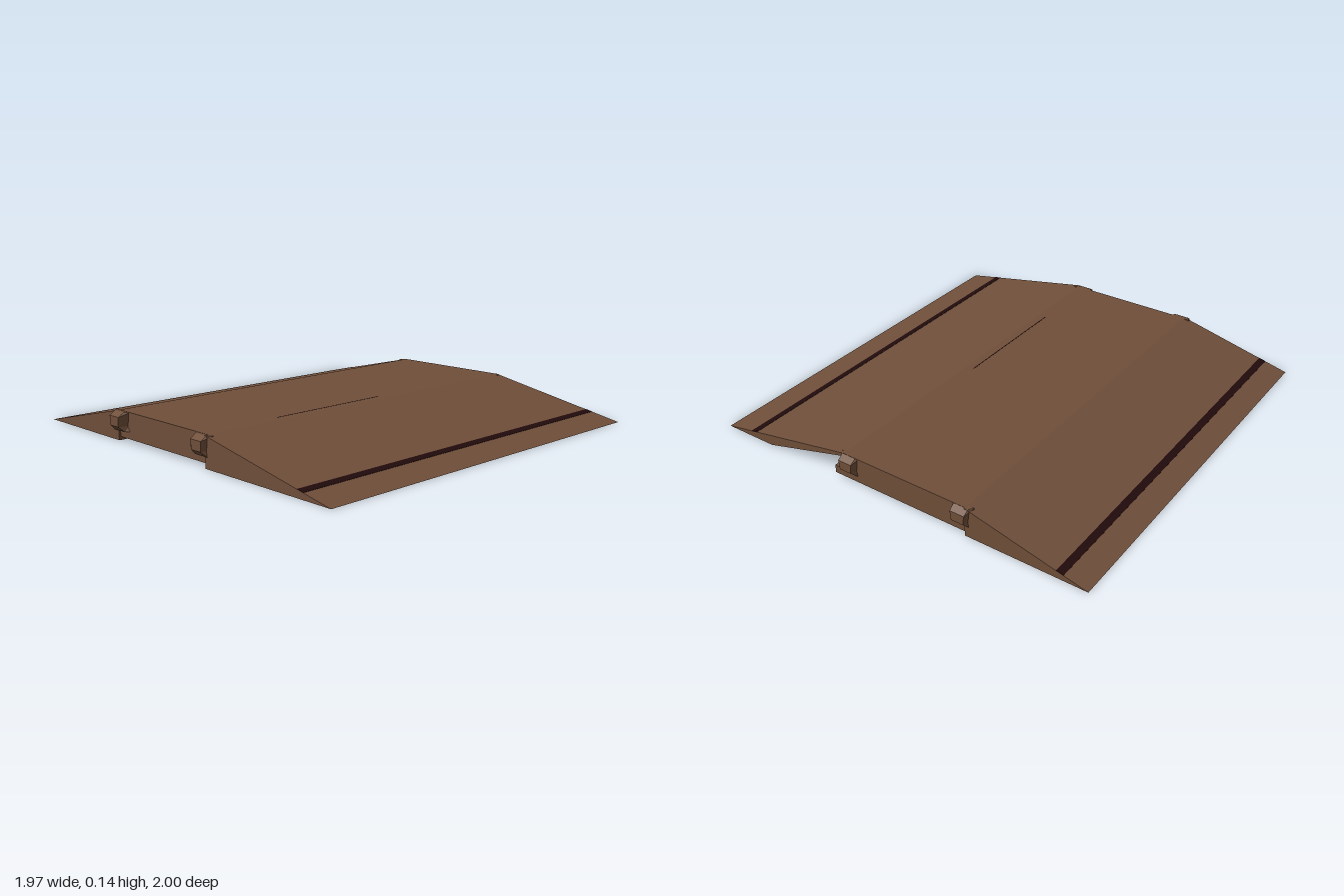
import * as THREE from 'three';

const brown = new THREE.MeshStandardMaterial({ color: 0x704f3a });
brown.name = 'brown planking';
const dark = new THREE.MeshStandardMaterial({ color: 0x220b0c });
dark.name = 'dark seam';

function add(parent, name, geometry, material = brown) {
  const mesh = new THREE.Mesh(geometry, material);
  mesh.name = name;
  parent.add(mesh);
  return mesh;
}

// Axis-aligned box given by its limits
function box(x0, x1, y0, y1, z0, z1) {
  return new THREE.BoxGeometry(x1 - x0, y1 - y0, z1 - z0)
    .translate((x0 + x1) / 2, (y0 + y1) / 2, (z0 + z1) / 2);
}

// Flat-shaded solid from convex polygons of corner points
function solid(polygons) {
  const pos = [];
  for (const p of polygons) {
    for (let i = 1; i < p.length - 1; i++) pos.push(...p[0], ...p[i], ...p[i + 1]);
  }
  const g = new THREE.BufferGeometry();
  g.setAttribute('position', new THREE.Float32BufferAttribute(pos, 3));
  g.computeVertexNormals();
  return g;
}

// Flared bracket: stacked trapezoid sections, its back at z = 0
function bracketGeometry() {
  const sections = [[0.05, 0.062, 0.024], [0.075, 0.044, 0.05], [0.12, 0.052, 0.05], [0.139, 0.054, 0.022]];
  const rings = sections.map(([y, w, d]) => [
    [-w, y, 0], [-w * 0.68, y, d], [w * 0.68, y, d], [w, y, 0],
  ]);
  const faces = [[...rings[0]].reverse(), rings[3]];
  for (let r = 0; r < 3; r++) {
    for (let i = 0; i < 4; i++) {
      const j = (i + 1) % 4;
      faces.push([rings[r][i], rings[r][j], rings[r + 1][j], rings[r + 1][i]]);
    }
  }
  return solid(faces);
}

export function createModel() {
  const model = new THREE.Group();
  model.name = 'rampBridge';
  const H = 0.14, xa = -0.4, xb = 0.25, tip = 0.985;

  // Shorter ramp
  const profile = new THREE.Shape([[-tip, 0], [xa, 0], [xa, H]].map(p => new THREE.Vector2(...p)));
  add(model, 'shortRamp',
    new THREE.ExtrudeGeometry(profile, { depth: 1.941, bevelEnabled: false }).translate(0, 0, -0.976));

  // Longer ramp, its lower back inner corner cut away
  const f = 0.974, b = -0.969;
  const T = [tip, 0, f], I = [xb, H, f], B = [xb, 0, f];
  const t = [tip, 0, b], i = [xb, H, b], k = [xb, 0.125, b], c = [0.71, 0, b];
  add(model, 'longRamp', solid([
    [B, T, I], [k, i, t, c], [I, T, t, i], [B, c, t, T], [B, k, c], [B, I, i, k],
  ]));

  // Raised deck on cross ribs that run on under the ramps
  const front = 0.956, back = -0.97;
  add(model, 'deck', box(xa, xb, 0.055, H, back, front));
  const ribs = 12, thick = 0.032, pitch = (front - back - thick) / (ribs - 1);
  for (let n = 0; n < ribs; n++) {
    const z = back + n * pitch;
    add(model, 'deckRib', box(xa - 0.04, 0.31, 0.016, 0.055, z, z + thick));
  }

  // Brackets at both ends of the deck
  const bracket = bracketGeometry();
  for (const x of [-0.38, 0.222]) {
    for (const s of [1, -1]) {
      const m = add(model, 'bracket', bracket);
      m.position.set(x, 0, s * 0.95);
      m.rotation.y = s > 0 ? 0 : Math.PI;
    }
  }

  // Dark seams lying on the ramps and the deck
  for (const [x, inner, len, zc] of [[-0.855, xa, 1.941, -0.0055], [0.82, xb, 1.943, 0.0025]]) {
    const run = tip - Math.abs(inner);
    const m = add(model, 'rampSeam', new THREE.BoxGeometry(0.035, 0.0024, len), dark);
    m.position.set(x, (tip - Math.abs(x)) / run * H, zc);
    m.rotation.z = -Math.sign(x) * Math.atan2(H, run);
  }
  add(model, 'deckSeam', box(0.208, 0.213, 0.139, 0.1405, -0.09, 0.55), dark);

  // Small dark marks on the deck front and the ramp underside
  add(model, 'frontMark', box(0.13, 0.175, 0.057, 0.08, front - 0.002, front + 0.001), dark);
  for (const [x, z] of [[0.56, 0.366], [0.63, -0.06]]) {
    add(model, 'undersideMark', box(x - 0.012, x + 0.012, -0.0005, 0.001, z - 0.03, z + 0.03), dark);
  }
  return model;
}
